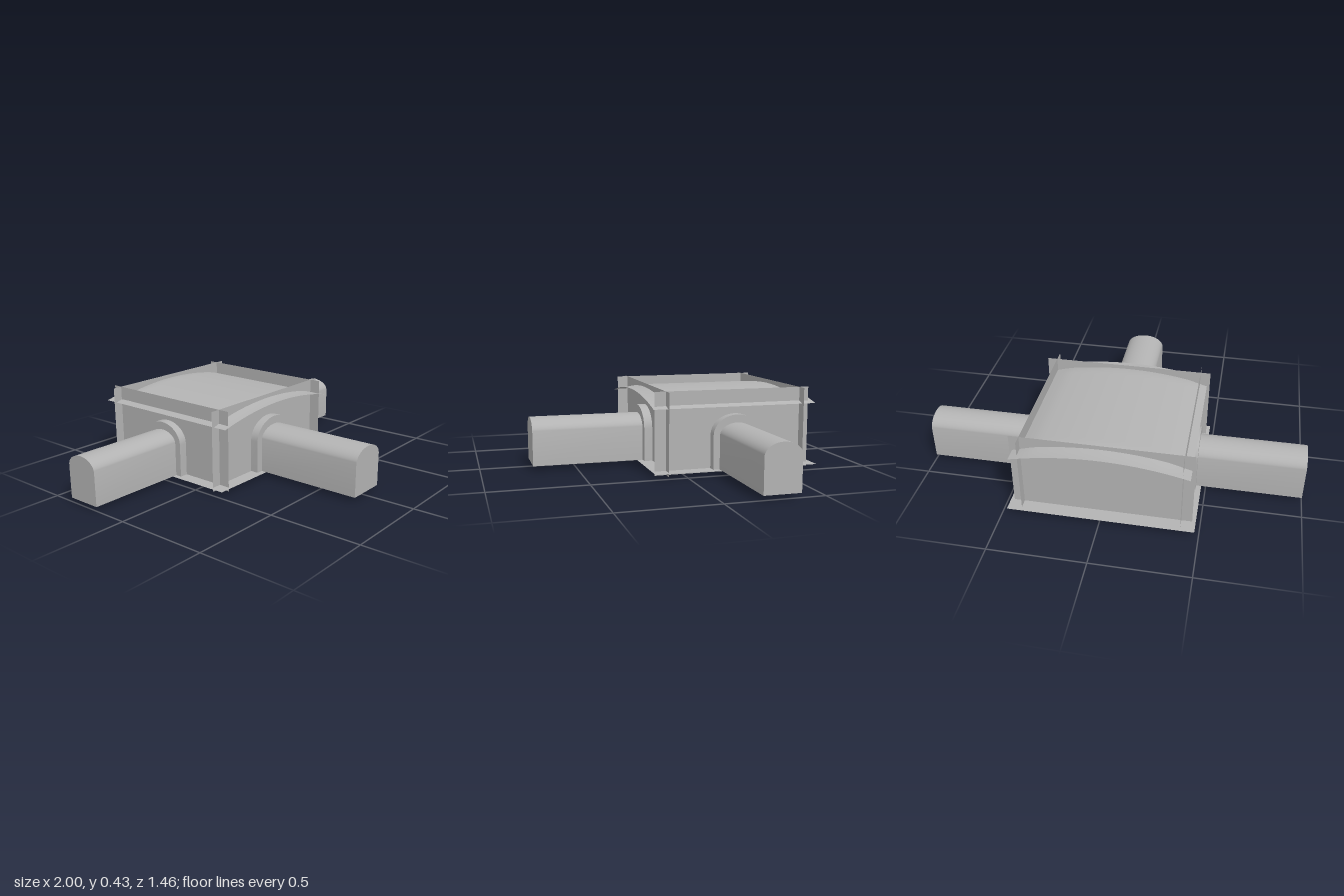
import * as THREE from 'three';
import { toCreasedNormals } from 'three/addons/utils/BufferGeometryUtils.js';

const FLOOR = 0.022;
const CZ = -0.283; // centre of the chamber along z

export function createModel() {
  const model = new THREE.Group();
  model.name = 'vaultedChamber';
  const stone = new THREE.MeshStandardMaterial({ color: 0xb3b3b3, side: THREE.DoubleSide });
  stone.name = 'plain grey';

  const add = (parent, name, geometry, x = 0, y = 0, z = 0) => {
    const mesh = new THREE.Mesh(geometry, stone);
    mesh.name = name;
    mesh.position.set(x, y, z);
    parent.add(mesh);
    return mesh;
  };

  // Floor sheet, with the crossing walls poking slightly below it
  add(model, 'floor', new THREE.PlaneGeometry(0.956, 0.895).rotateX(-Math.PI / 2), 0, FLOOR, CZ);

  // Four thin crossing walls
  for (const [name, z] of [['frontWall', 0.088], ['backWall', -0.654]])
    add(model, name, new THREE.PlaneGeometry(0.92, 0.432), 0, 0.216, z);
  for (const [name, x] of [['leftWall', 0.406], ['rightWall', -0.406]])
    add(model, name, new THREE.PlaneGeometry(0.855, 0.432).rotateY(Math.PI / 2), x, 0.216, -0.278);

  // Arched roof sheet that softens downward near its borders
  const roof = new THREE.PlaneGeometry(0.89, 0.895, 40, 40).rotateX(-Math.PI / 2);
  const p = roof.attributes.position;
  const ease = (t) => THREE.MathUtils.smoothstep(t, 0, 0.13);
  for (let i = 0; i < p.count; i++) {
    const x = p.getX(i), z = p.getZ(i);
    const arch = 0.055 * (1 - (x / 0.445) ** 2);
    const swell = 0.013 * ease(0.445 - Math.abs(x)) * ease(0.4475 - Math.abs(z));
    p.setY(i, 0.347 + arch + swell);
  }
  roof.computeVertexNormals();
  add(model, 'archedRoof', roof, 0, 0, CZ);

  // Round-topped doorway outline: half width, springing height, top height
  const outline = (path, w, spring, top) => {
    path.moveTo(-w, FLOOR);
    path.lineTo(w, FLOOR);
    path.lineTo(w, spring);
    path.absellipse(0, spring, w, top - spring, 0, Math.PI, false);
    path.lineTo(-w, FLOOR);
    return path;
  };
  const extrude = (shape, depth) => toCreasedNormals(
    new THREE.ExtrudeGeometry(shape, { depth, bevelEnabled: false, curveSegments: 12 }), 0.6);

  // Passages with a raised collar where they meet the wall
  const passage = (name, x, z, turn, length, w, top, collarW, collarTop) => {
    const group = new THREE.Group();
    group.name = name;
    group.position.set(x, 0, z);
    group.rotation.y = turn;
    add(group, 'tunnel', extrude(outline(new THREE.Shape(), w, 0.2, top), length));
    const ring = outline(new THREE.Shape(), collarW, 0.2, collarTop);
    ring.holes.push(outline(new THREE.Path(), w - 0.003, 0.2, top - 0.003));
    add(group, 'collar', extrude(ring, 0.045));
    model.add(group);
  };
  passage('frontPassage', 0, 0.088, 0, 0.642, 0.11, 0.27, 0.147, 0.314);
  passage('leftPassage', 0.406, -0.283, Math.PI / 2, 0.594, 0.095, 0.264, 0.13, 0.306);
  passage('rightPassage', -0.406, -0.283, -Math.PI / 2, 0.594, 0.095, 0.264, 0.13, 0.306);

  return model;
}
